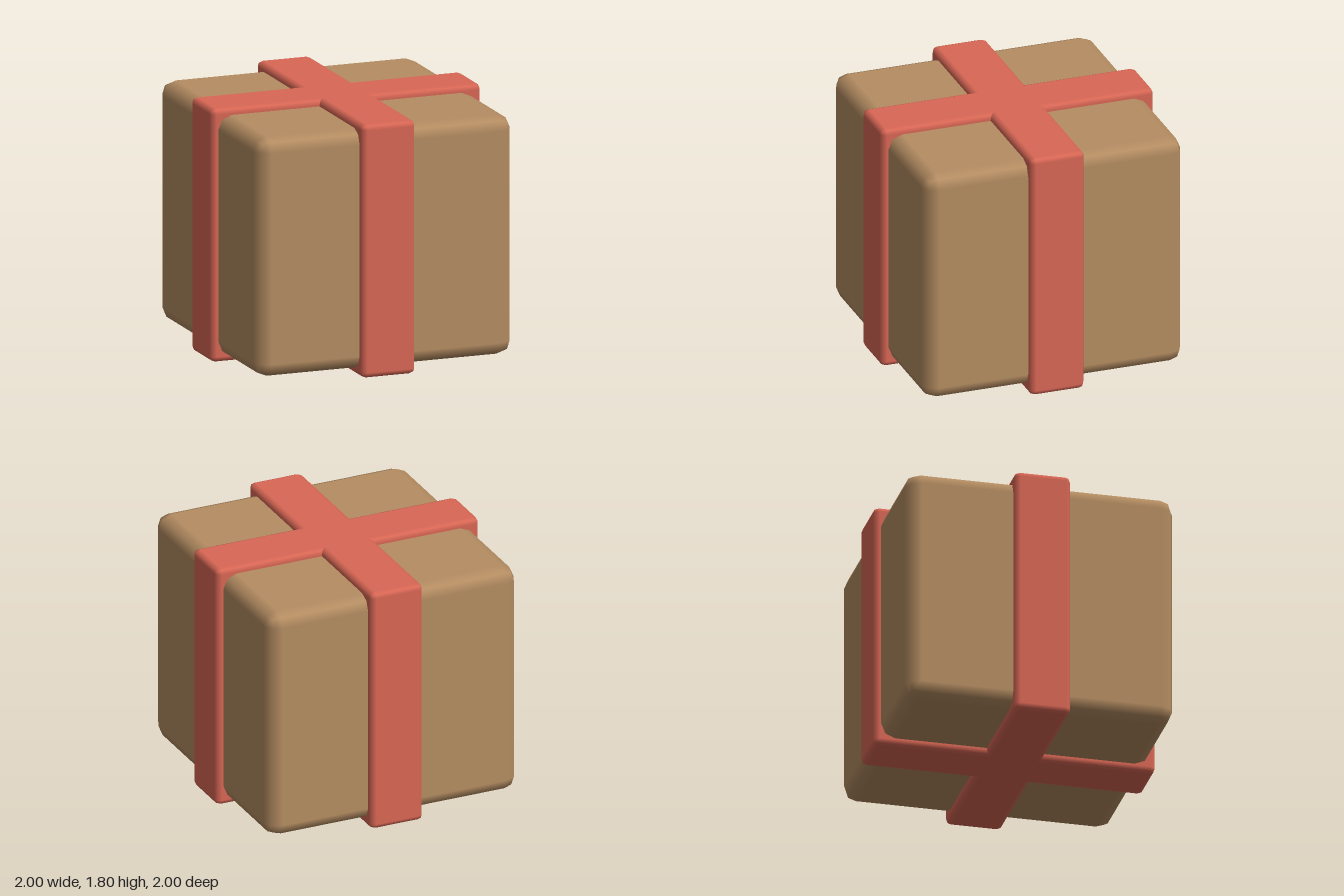
import * as THREE from 'three';
import { RoundedBoxGeometry } from 'three/addons/geometries/RoundedBoxGeometry.js';

export function createModel() {
  const group = new THREE.Group();
  group.name = 'giftBox';

  const cardboard = new THREE.MeshStandardMaterial({ color: 0xb58d62 });
  cardboard.name = 'cardboard brown';
  const ribbonRed = new THREE.MeshStandardMaterial({ color: 0xd96755 });
  ribbonRed.name = 'ribbon red';

  // Bevelled block, centred at half the overall height
  function addBlock(name, width, height, depth, bevel, material) {
    const mesh = new THREE.Mesh(new RoundedBoxGeometry(width, height, depth, 1, bevel), material);
    mesh.name = name;
    mesh.position.y = 0.9;
    group.add(mesh);
  }

  // Box body
  addBlock('box', 1.9, 1.7, 1.9, 0.1, cardboard);

  // Crossing ribbons wrapped all the way round the box
  addBlock('ribbonFrontToBack', 0.4, 1.8, 2, 0.04, ribbonRed);
  addBlock('ribbonSideToSide', 2, 1.8, 0.4, 0.04, ribbonRed);

  return group;
}
